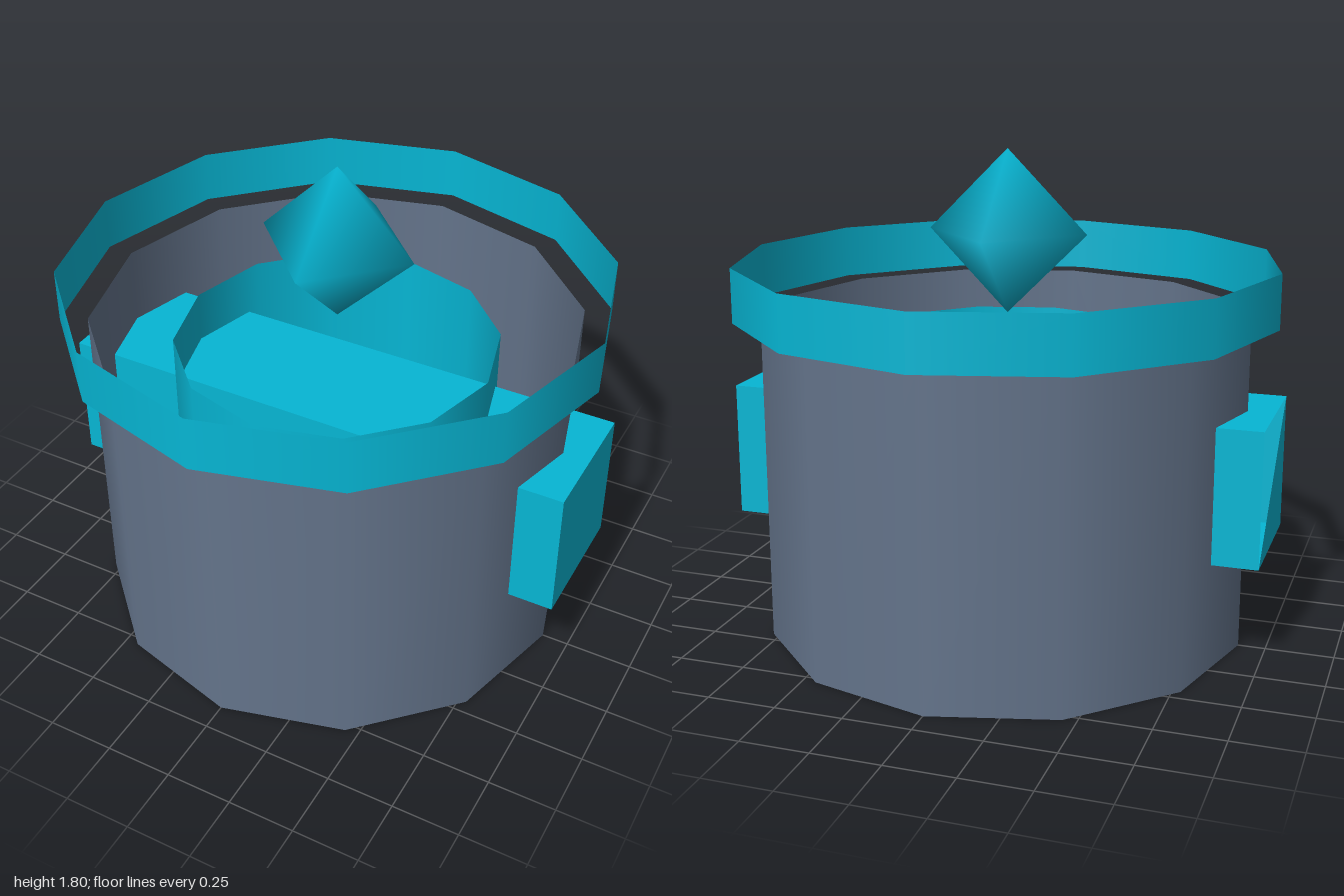
import * as THREE from 'three';

const SLATE = 0x64748b, CYAN = 0x06b6d4, SIDES = 12;

function addPart(group, name, geometry, color, y) {
  const material = new THREE.MeshStandardMaterial({ color, side: THREE.DoubleSide });
  const mesh = new THREE.Mesh(geometry, material);
  mesh.name = name;
  mesh.position.y = y;
  group.add(mesh);
}

// Open twelve-sided wall between two heights
function addWall(group, name, radius, bottom, top, color) {
  const geometry = new THREE.CylinderGeometry(radius, radius, top - bottom, SIDES, 1, true);
  addPart(group, name, geometry, color, (bottom + top) / 2);
}

export function createModel() {
  const model = new THREE.Group();
  model.name = 'drum';

  // Nested open walls
  addWall(model, 'outerWall', 0.9, 0, 1.2, SLATE);
  addWall(model, 'rimBand', 1, 1.2, 1.4, CYAN);
  addWall(model, 'innerWall', 0.6, 0.2, 1.1, CYAN);

  // Crossbar through both walls; its right end is half open
  const bar = new THREE.BoxGeometry(2, 0.5, 0.5);
  const index = Array.from(bar.index.array);
  index.splice(6, 3);
  bar.setIndex(index);
  bar.clearGroups();
  addPart(model, 'crossbar', bar, CYAN, 0.65);

  // Smooth-shaded eight-faced gem floating above
  addPart(model, 'gem', new THREE.SphereGeometry(0.3, 4, 2), CYAN, 1.5);

  return model;
}
